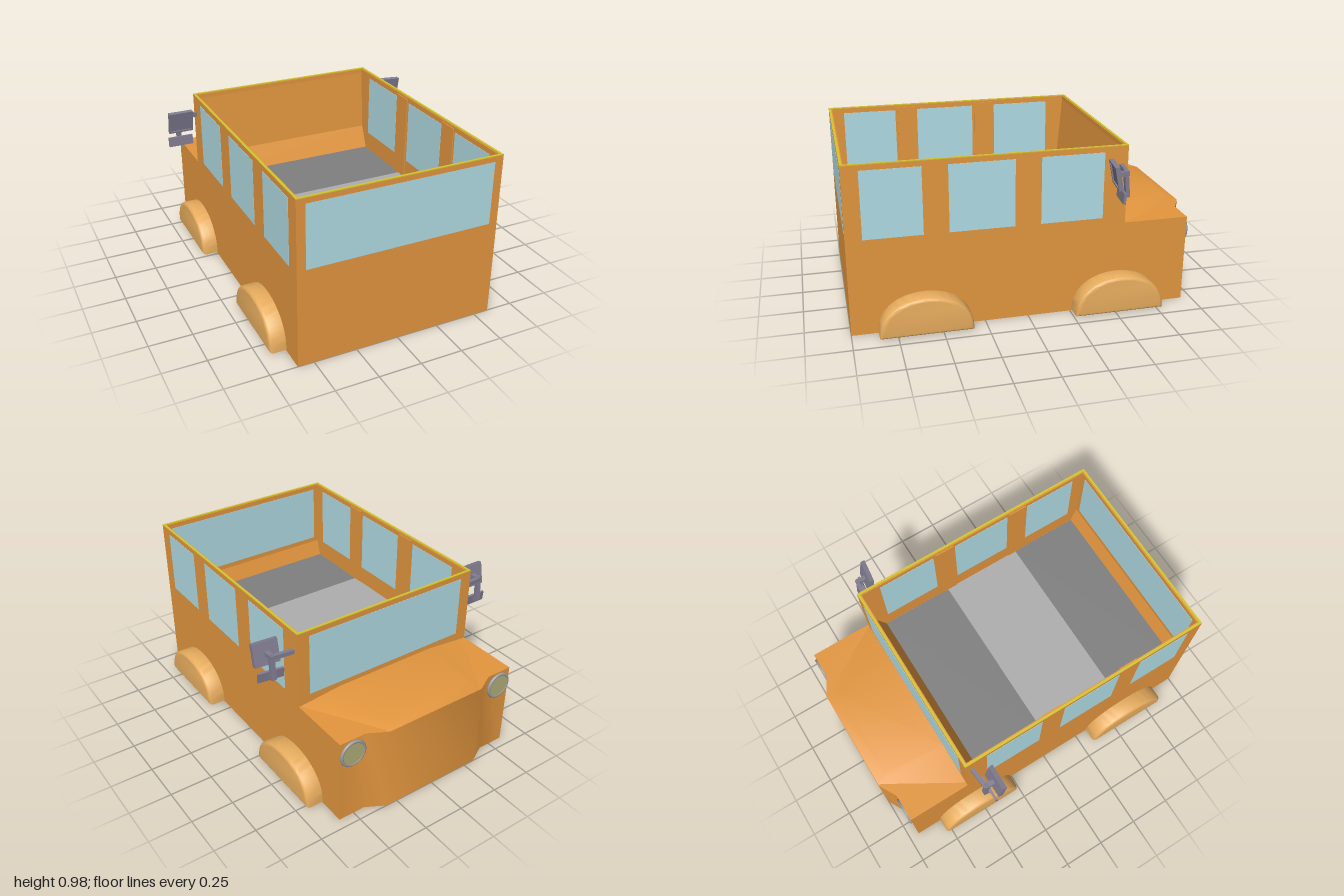
import * as THREE from 'three';
import { toCreasedNormals } from 'three/addons/utils/BufferGeometryUtils.js';

const mat = (color) => new THREE.MeshStandardMaterial({ color });

export function createModel() {
  const root = new THREE.Group();
  const paint = mat(0xe4973f), fenderPaint = mat(0xe8ad5e), glass = mat(0xb2dde6);
  const trim = mat(0xd8c530), metal = mat(0x827e92), lens = mat(0xb0af78), chrome = mat(0x9a9ca0);
  const darkFloor = mat(0x808080), lightFloor = mat(0xaeaeae);

  const add = (name, geo, material, parent = root) => {
    const m = new THREE.Mesh(geo, material);
    m.name = name;
    parent.add(m);
    return m;
  };
  const box = (name, x0, x1, y0, y1, z0, z1, material, parent) => {
    const m = add(name, new THREE.BoxGeometry(x1 - x0, y1 - y0, z1 - z0), material, parent);
    m.position.set((x0 + x1) / 2, (y0 + y1) / 2, (z0 + z1) / 2);
    return m;
  };
  // Plan outline in (x, z), raised from y0 to y1; the hole runs the other way round
  const prism = (pts, y0, y1, hole) => {
    const flat = (list) => list.map(([x, z]) => new THREE.Vector2(x, -z));
    const s = new THREE.Shape(flat(pts));
    if (hole) s.holes.push(new THREE.Path(flat(hole).reverse()));
    return new THREE.ExtrudeGeometry(s, { depth: y1 - y0, bevelEnabled: false })
      .rotateX(-Math.PI / 2).translate(0, y0, 0);
  };
  const rect = (x, z0, z1) => [[-x, z0], [x, z0], [x, z1], [-x, z1]];

  // Cabin: solid base, open-topped walls and bright rim
  const W = 0.593, T = 0.02, FLOOR = 0.44;
  const outer = rect(W, -0.56, 1);
  add('lowerBody', prism(outer, 0, FLOOR), paint);
  add('cabinWalls', prism(outer, FLOOR, 0.975, rect(W - T, -0.54, 0.98)), paint);
  add('topRim', prism(outer, 0.975, 0.98, rect(W - 0.014, -0.546, 0.986)), trim);

  // Interior floor panels
  [[-0.45, 0, darkFloor], [0, 0.51, lightFloor], [0.51, 0.945, darkFloor]].forEach(([a, b, m]) =>
    box('floorPanel', -0.57, 0.57, FLOOR, FLOOR + 0.006, a, b, m));

  // Inner lining below the windscreen and a small sill at the other end
  const lining = (name, profile) => {
    const s = new THREE.Shape(profile.map(([z, y]) => new THREE.Vector2(-z, y)));
    add(name, new THREE.ExtrudeGeometry(s, { depth: 1.144, bevelEnabled: false })
      .translate(0, 0, -0.572).rotateY(Math.PI / 2), paint);
  };
  lining('dash', [[-0.545, FLOOR], [-0.45, FLOOR], [-0.51, 0.58], [-0.54, 0.95], [-0.545, 0.95]]);
  lining('rearSill', [[0.985, FLOOR], [0.945, FLOOR], [0.965, 0.5], [0.985, 0.56]]);

  // Windows sit just proud of the walls
  const e = 0.002;
  for (const s of [-1, 1]) {
    const x = s * (W - T / 2), h = T / 2 + e;
    [[0.582, 0.908], [0.078, 0.442], [-0.425, -0.068]].forEach(([a, b]) =>
      box('sideWindow', x - h, x + h, 0.56, 0.945, a, b, glass));
    // Inner pillars
    [[0.455, 0.57], [-0.055, 0.065]].forEach(([a, b]) =>
      box('pillar', s * 0.572 - 0.006, s * 0.572 + 0.006, FLOOR, 0.965, a, b, paint));
  }
  box('rearWindow', -0.543, 0.543, 0.577, 0.945, 0.98 - e, 1 + e / 2, glass);
  box('windscreen', -0.52, 0.52, 0.577, 0.945, -0.56 - e, -0.55, glass);

  // Engine bay with a softly chamfered nose
  const bay = prism([[-W, -0.56], [-W, -0.94], [-0.43, -0.94], [-0.32, -1],
    [0.32, -1], [0.43, -0.94], [W, -0.94], [W, -0.56]], 0, 0.52);
  add('engineBay', toCreasedNormals(bay, 1), paint);

  // Raised hood panel: a box tapered towards the nose and the top
  const hood = new THREE.BoxGeometry(2, 1, 1);
  const hp = hood.attributes.position;
  for (let i = 0; i < hp.count; i++) {
    const top = hp.getY(i) > 0, nose = hp.getZ(i) < 0;
    const x = top ? (nose ? 0.28 : 0.32) : (nose ? 0.32 : 0.585);
    const z = nose ? (top ? -0.92 : -1) : -0.56;
    hp.setXYZ(i, Math.sign(hp.getX(i)) * x, top ? 0.546 : 0.519, z);
  }
  add('hoodPanel', toCreasedNormals(hood, 1), paint);

  // Wheel arches: half ovals with rounded outer edges
  const b = 0.02;
  const arch = new THREE.Shape();
  arch.moveTo(-0.24, b + 0.005);
  arch.lineTo(0.24, b + 0.005);
  arch.bezierCurveTo(0.235, 0.267, -0.235, 0.267, -0.24, b + 0.005);
  arch.closePath();
  const archGeo = toCreasedNormals(new THREE.ExtrudeGeometry(arch, {
    depth: 0.10, bevelThickness: b, bevelSize: b, bevelSegments: 4, curveSegments: 28,
  }).rotateY(Math.PI / 2), 0.7);
  for (const z of [0.59, -0.52])
    for (const s of [-1, 1]) {
      const m = add('wheelArch', archGeo, fenderPaint);
      m.position.set(s > 0 ? 0.575 : -0.568, 0, z);
      m.rotation.y = s < 0 ? Math.PI : 0;
    }

  // Headlights
  for (const s of [-1, 1]) {
    const lamp = new THREE.Group();
    lamp.name = 'headlight';
    lamp.position.set(s * 0.512, 0.43, -0.943);
    root.add(lamp);
    add('lampRim', new THREE.TorusGeometry(0.072, 0.01, 10, 32), chrome, lamp);
    add('lampLens', new THREE.CylinderGeometry(0.07, 0.07, 0.014, 32).rotateX(Math.PI / 2), lens, lamp);
  }

  // Wing mirrors: arm, post, framed main mirror and a small lower one
  for (const s of [-1, 1]) {
    const g = new THREE.Group();
    g.name = 'wingMirror';
    root.add(g);
    const part = (name, x, y, z, w, h, d, tilt = 0, yaw = 0, parent = g) => {
      const m = add(name, new THREE.BoxGeometry(w, h, d), metal, parent);
      m.position.set(s * x, y, z);
      m.rotation.set(tilt, yaw, 0);
    };
    const low = s > 0 ? 0.737 : 0.717, yaw = s > 0 ? -0.12 : 0;
    part('mirrorArm', 0.655, 0.86, -0.515, 0.14, 0.025, 0.022, 0, s * -0.1);
    part('mirrorPost', 0.715, 0.8, -0.508, 0.028, 0.15, 0.022, 0.1);
    part('mirrorStub', 0.715, 0.858, -0.475, 0.028, 0.025, 0.06);
    part('lowerStub', 0.715, low + 0.005, -0.497, 0.028, 0.02, 0.03);
    part('lowerMirror', 0.713, low, -0.484, 0.15, 0.058, 0.014, -0.1, yaw);

    const main = new THREE.Group();
    main.name = 'mainMirror';
    main.position.set(s * 0.717, 0.857, -0.447);
    main.rotation.set(0.2, yaw, 0);
    g.add(main);
    box('mirrorPlate', -0.072, 0.072, -0.066, 0.066, -0.012, 0.006, metal, main);
    for (const k of [-1, 1]) {
      box('frameSide', k * 0.069 - 0.005, k * 0.069 + 0.005, -0.066, 0.066, 0, 0.014, metal, main);
      box('frameEdge', -0.074, 0.074, k * 0.062 - 0.005, k * 0.062 + 0.005, 0, 0.014, metal, main);
    }
  }
  return root;
}
